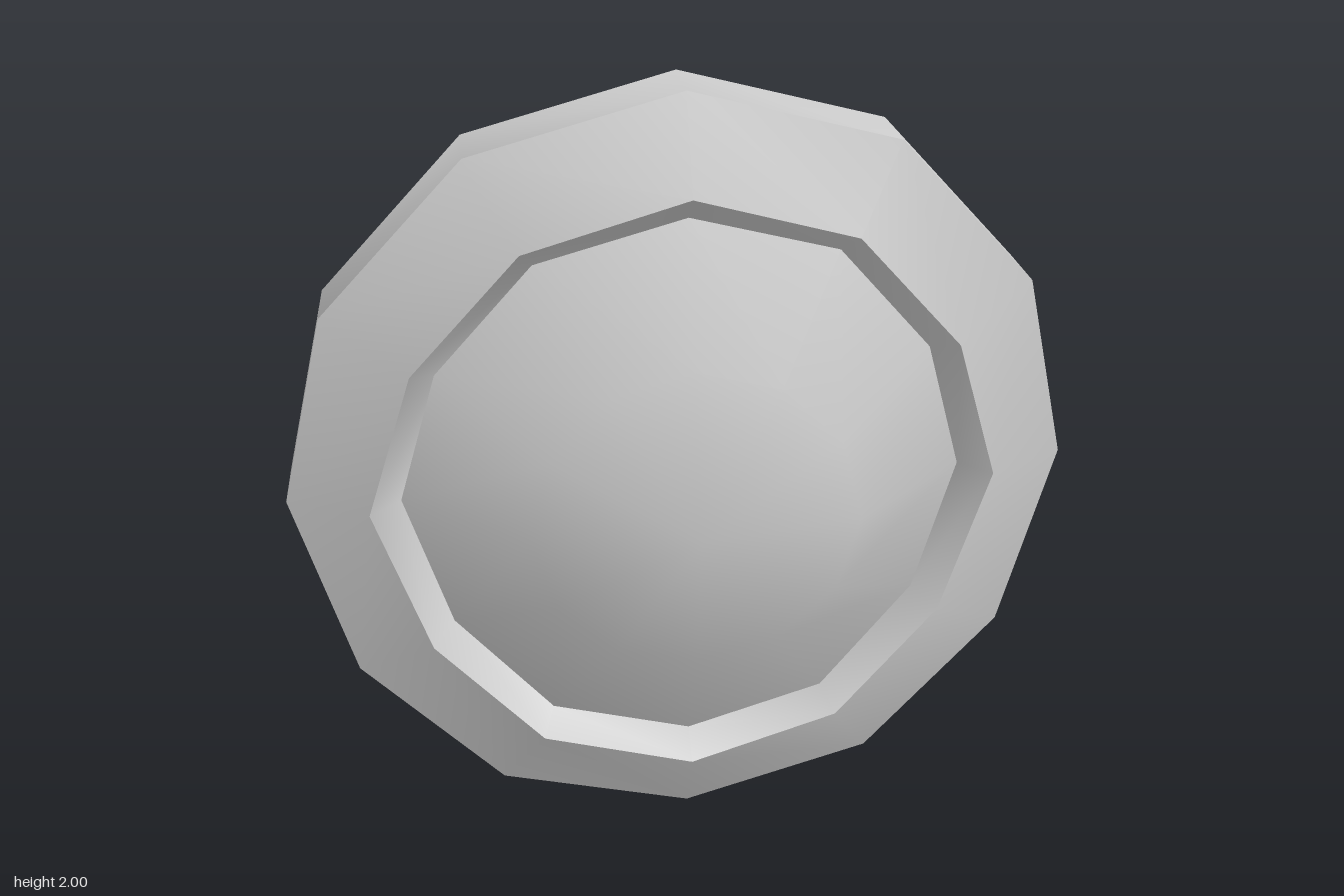
import * as THREE from 'three';
import { toCreasedNormals } from 'three/addons/utils/BufferGeometryUtils.js';

const SIDES = 12;

// Each ring lists its radius and depth at 0, 30, 60 and 90 degrees from the side;
// the other three quarters are mirrored.
const rings = {
  rimBack:   { r: [0.985, 0.985, 1, 1],         z: [-0.26, -0.225, -0.2, -0.19] },
  rimFront:  { r: [0.985, 0.985, 1, 1],         z: [-0.08, -0.05, -0.022, -0.015] },
  ridge:     { r: [0.78, 0.755, 0.776, 0.785],  z: [0.02, 0.053, 0.08, 0.09] },
  groove:    { r: [0.705, 0.692, 0.717, 0.72],  z: [-0.05, -0.02, 0.01, 0.02] },
  dome:      { r: [0.4, 0.4, 0.4, 0.4],         z: [0.19, 0.183, 0.17, 0.165] },
  apex:      { r: [0, 0, 0, 0],                 z: [0.258, 0.258, 0.258, 0.258] },
  backInner: { r: [0.84, 0.845, 0.855, 0.857],  z: [-0.25, -0.222, -0.19, -0.18] },
  backMid:   { r: [0.43, 0.43, 0.43, 0.43],     z: [-0.165, -0.16, -0.15, -0.145] },
  backHub:   { r: [0, 0, 0, 0],                 z: [-0.13, -0.13, -0.13, -0.13] },
};

function ringPoint(ring, k) {
  const q = k % 6;
  const i = q > 3 ? 6 - q : q;
  const a = (k / SIDES) * Math.PI * 2;
  return [ring.r[i] * Math.cos(a), 1 + ring.r[i] * Math.sin(a), ring.z[i]];
}

// Skin joining consecutive rings, listed from outside in for a front-facing skin
function skin(name, list, material) {
  const pos = [];
  const index = [];
  list.forEach((ring) => {
    for (let k = 0; k < SIDES; k++) pos.push(...ringPoint(ring, k));
  });
  for (let j = 0; j < list.length - 1; j++) {
    for (let k = 0; k < SIDES; k++) {
      const n = (k + 1) % SIDES;
      const a = j * SIDES + k, b = j * SIDES + n;
      const c = a + SIDES, d = b + SIDES;
      // Skip the collapsed triangle where a ring shrinks to a point
      if (list[j].r[0] > 0) index.push(a, b, c);
      if (list[j + 1].r[0] > 0) index.push(b, d, c);
    }
  }
  const geo = new THREE.BufferGeometry();
  geo.setAttribute('position', new THREE.Float32BufferAttribute(pos, 3));
  geo.setIndex(index);
  const mesh = new THREE.Mesh(toCreasedNormals(geo, 0.8), material);
  mesh.name = name;
  return mesh;
}

export function createModel() {
  const group = new THREE.Group();
  group.name = 'roundShield';
  const grey = new THREE.MeshStandardMaterial({ color: 0xcccccc, side: THREE.DoubleSide });
  const { rimBack, rimFront, ridge, groove, dome, apex, backInner, backMid, backHub } = rings;

  // Outer wall, sloping front border and inner wall of the border
  group.add(skin('rim', [rimBack, rimFront, ridge, groove], grey));
  // Bulging centre
  group.add(skin('dome', [groove, dome, apex], grey));
  // Shallow dished back
  group.add(skin('backPlate', [backHub, backMid, backInner, rimBack], grey));
  return group;
}
